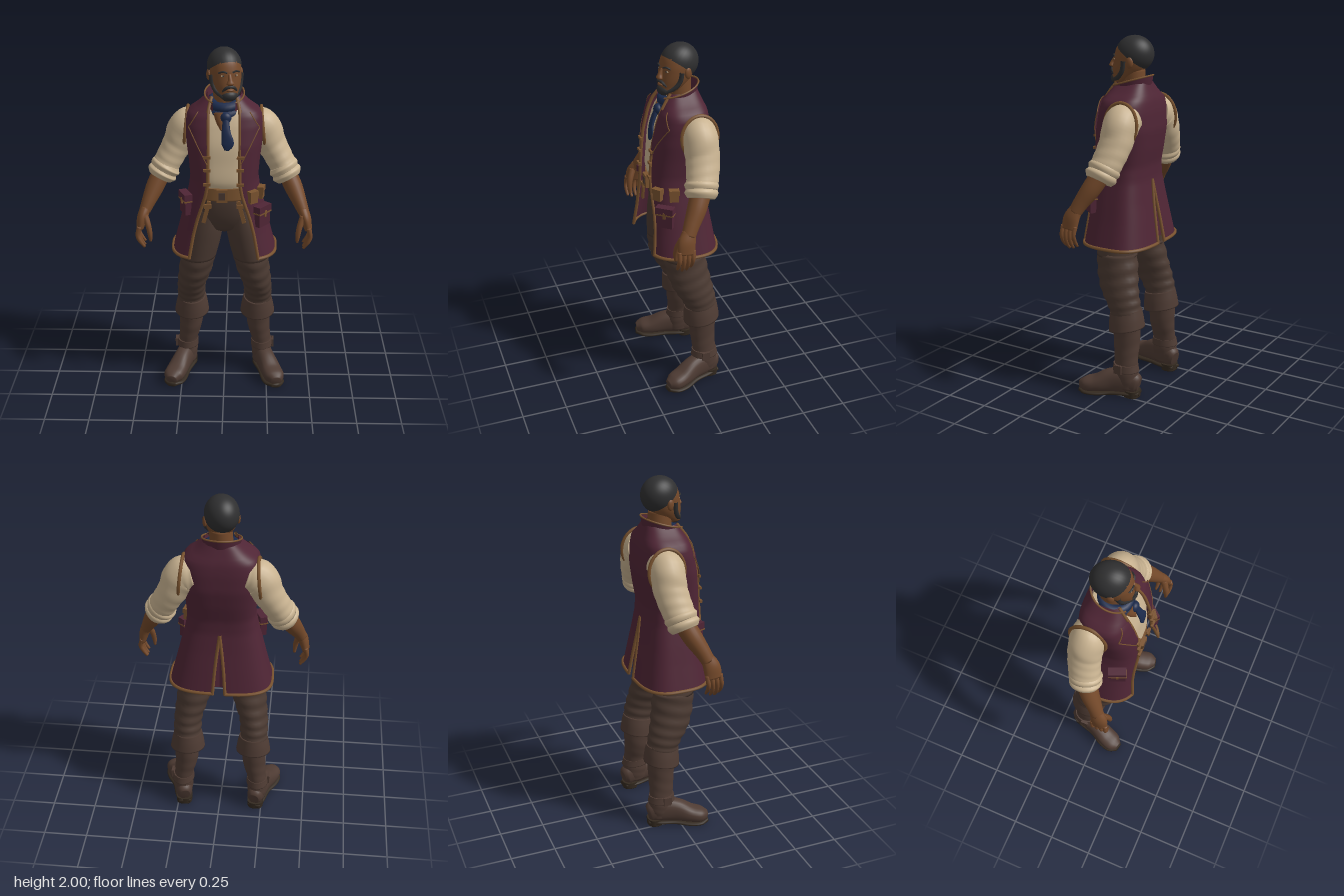
import * as THREE from 'three';

const V = (x, y, z) => new THREE.Vector3(x, y, z);
const mat = (name, color, double) => {
  const m = new THREE.MeshStandardMaterial({ color });
  m.name = name;
  if (double) m.side = THREE.DoubleSide;
  return m;
};

// Smooth grid surface; wrap joins the u direction into a ring
function grid(nu, nv, fn, wrap) {
  const pos = [], idx = [], w = wrap ? nu : nu + 1;
  for (let j = 0; j <= nv; j++)
    for (let i = 0; i < w; i++) pos.push(...fn(i / nu, j / nv, j).toArray());
  for (let j = 0; j < nv; j++)
    for (let i = 0; i < nu; i++) {
      const a = j * w + i, b = j * w + (i + 1) % w;
      idx.push(a, b, a + w, b, b + w, a + w);
    }
  const g = new THREE.BufferGeometry();
  g.setAttribute('position', new THREE.Float32BufferAttribute(pos, 3));
  g.setIndex(idx);
  g.computeVertexNormals();
  return g;
}

// Capped loft through [x, y, z, halfWidth, halfDepth] sections
function loft(pts, { ref = V(0, 0, 1), flat = null, p = 1, seg = 24, ripple = 0 } = {}) {
  const path = new THREE.CatmullRomCurve3(pts.map(q => V(q[0], q[1], q[2])));
  const size = new THREE.CatmullRomCurve3(pts.map(q => V(q[3], q[4], 0)), false, 'catmullrom', 0.5);
  const n = pts.length * 6 + 2;
  const pw = c => Math.sign(c) * Math.abs(c) ** p;
  return grid(seg, n, (u, v, j) => {
    const t = THREE.MathUtils.clamp((j - 1) / (n - 2), 0, 1);
    const T = flat || path.getTangent(t);
    const side = T.clone().cross(ref).normalize();
    const up = T.clone().cross(side);
    const r = size.getPoint(t), a = u * Math.PI * 2;
    const k = (j === 0 || j === n) ? 0.001 : 1 + ripple * Math.sin(t * 38 + 2.5 * Math.sin(a));
    return path.getPoint(t).addScaledVector(side, r.x * k * pw(Math.cos(a))).addScaledVector(up, r.y * k * pw(Math.sin(a)));
  }, true);
}

// Waistcoat rows: y, half width, front z, back z, front opening, back vent
const ROWS = [
  [1.75, 0.09, 0.06, -0.11, 0.065, 0], [1.70, 0.14, 0.095, -0.13, 0.08, 0], [1.66, 0.2, 0.115, -0.147, 0.085, 0],
  [1.6, 0.21, 0.135, -0.157, 0.085, 0], [1.5, 0.207, 0.16, -0.162, 0.085, 0], [1.4, 0.195, 0.172, -0.15, 0.085, 0],
  [1.3, 0.187, 0.18, -0.132, 0.085, 0], [1.22, 0.198, 0.182, -0.132, 0.1, 0], [1.1, 0.228, 0.187, -0.15, 0.14, 0.015],
  [1.0, 0.252, 0.195, -0.168, 0.165, 0.025], [0.86, 0.288, 0.212, -0.192, 0.19, 0.035]];
function vestRow(y) {
  let i = 0;
  while (i < ROWS.length - 2 && y < ROWS[i + 1][0]) i++;
  const k = (ROWS[i][0] - y) / (ROWS[i][0] - ROWS[i + 1][0]);
  return ROWS[i].map((a, c) => a + (ROWS[i + 1][c] - a) * k);
}
const ang = (x, rx) => Math.asin(Math.min(1, x / rx) ** 1.5);
// Point on one side of the waistcoat; t runs from the front edge (0) to the back (1)
function vestAt(s, y, t, off = 0) {
  const [, rx, zf, zb, open, gap] = vestRow(y), zc = -0.01;
  const a0 = ang(open, rx), a = a0 + (Math.PI - ang(gap, rx) - a0) * t, c = Math.cos(a);
  const depth = (c > 0 ? zf - zc : zc - zb) + off;
  return V(s * (rx + off) * Math.abs(Math.sin(a)) ** (2 / 3), y, zc + Math.sign(c) * depth * Math.abs(c) ** (2 / 3));
}
function vestT(y, x) {
  const [, rx, , , open, gap] = vestRow(y), a0 = ang(open, rx);
  return (ang(x, rx) - a0) / (Math.PI - ang(gap, rx) - a0);
}

export function createModel() {
  const root = new THREE.Group();
  root.name = 'standingMan';
  const M = {
    skin: mat('skin', 0x74492a), hair: mat('hair', 0x2f2f30), vest: mat('plum cloth', 0x4f2535, true),
    trim: mat('tan leather', 0x7a532f, true), shirt: mat('cream linen', 0xc9b391), trousers: mat('brown cloth', 0x4b3a32),
    boots: mat('boot leather', 0x4e3b33), sole: mat('sole', 0x33291f), scarf: mat('navy scarf', 0x1c2b4c)
  };
  const add = (name, geo, m, parent = root) => {
    const mesh = new THREE.Mesh(geo, m);
    mesh.name = name;
    parent.add(mesh);
    return mesh;
  };
  const ball = (name, m, x, y, z, rx, ry, rz, parent) =>
    add(name, new THREE.SphereGeometry(1, 20, 14).scale(rx, ry, rz).translate(x, y, z), m, parent);
  const box = (name, m, w, h, d, x, y, z, parent) => {
    const b = add(name, new THREE.BoxGeometry(w, h, d), m, parent);
    b.position.set(x, y, z);
    return b;
  };
  const tube = (name, pts, r, m, closed = false, parent = root) =>
    add(name, new THREE.TubeGeometry(new THREE.CatmullRomCurve3(pts, closed), pts.length * 3, r, 6, closed), m, parent);
  const span = (n, fn) => Array.from({ length: n + 1 }, (_, i) => fn(i / n));
  const UP = V(0, 1, 0), DOWN = V(0, -1, 0);

  // Shirt body, neck and open collar
  add('shirtBody', loft([[0, 1.24, 0.02, 0.15, 0.125], [0, 1.3, 0.02, 0.165, 0.14], [0, 1.4, 0.01, 0.175, 0.142],
    [0, 1.5, 0, 0.18, 0.142], [0, 1.6, -0.015, 0.18, 0.128], [0, 1.65, -0.02, 0.16, 0.112], [0, 1.71, -0.02, 0.085, 0.085]],
  { flat: UP, p: 0.75, seg: 32 }), M.shirt);
  add('neck', loft([[0, 1.6, -0.02, 0.07, 0.07], [0, 1.7, -0.02, 0.065, 0.065], [0.005, 1.82, -0.015, 0.06, 0.065]], { flat: UP }), M.skin);
  add('openThroat', loft([[-0.012, 1.66, 0.07, 0.05, 0.035], [-0.014, 1.62, 0.094, 0.03, 0.026], [-0.014, 1.58, 0.112, 0.004, 0.015]]), M.skin);

  // Neck scarf
  for (const [y, r] of [[1.71, 0.07], [1.675, 0.073]]) {
    const ring = add('scarfWrap', new THREE.TorusGeometry(r, 0.027, 10, 28).rotateX(Math.PI / 2), M.scarf);
    ring.position.set(0, y, 0.005);
    ring.rotation.x = 0.2;
  }
  ball('scarfKnot', M.scarf, 0.01, 1.65, 0.103, 0.03, 0.03, 0.024);
  add('scarfTail', loft([[0.01, 1.65, 0.11, 0.016, 0.014], [0.012, 1.58, 0.138, 0.024, 0.011], [0.02, 1.52, 0.15, 0.033, 0.009], [0.014, 1.485, 0.153, 0.012, 0.006]]), M.scarf);

  // Head, turned a little to its left
  const head = new THREE.Group();
  head.name = 'head';
  head.position.x = 0.005;
  head.rotation.y = 0.28;
  root.add(head);
  add('face', loft([[0, 1.738, 0.07, 0.025, 0.025], [0, 1.75, 0.062, 0.046, 0.042], [0, 1.785, 0.028, 0.064, 0.074], [0, 1.82, 0.01, 0.077, 0.09],
    [0, 1.86, -0.002, 0.084, 0.096], [0, 1.9, -0.012, 0.085, 0.1], [0, 1.945, -0.017, 0.075, 0.088], [0, 1.98, -0.02, 0.045, 0.055]],
  { flat: UP, p: 0.92, seg: 32 }), M.skin, head);
  add('hairCap', new THREE.SphereGeometry(1, 32, 20, 0, Math.PI * 2, 0, 1.8).rotateX(-0.68).scale(0.092, 0.1, 0.106).translate(0, 1.9, -0.022), M.hair, head);
  add('nose', loft([[0, 1.885, 0.084, 0.009, 0.01], [0, 1.855, 0.1, 0.012, 0.014], [0, 1.835, 0.106, 0.021, 0.016], [0, 1.826, 0.1, 0.014, 0.01]], { flat: DOWN }), M.skin, head);
  ball('chinBeard', M.hair, 0, 1.765, 0.07, 0.047, 0.034, 0.043, head);
  ball('lips', M.skin, 0, 1.798, 0.096, 0.022, 0.009, 0.014, head);
  tube('moustache', [V(-0.036, 1.792, 0.084), V(-0.022, 1.812, 0.1), V(0, 1.818, 0.105), V(0.022, 1.812, 0.1), V(0.036, 1.792, 0.084)], 0.008, M.hair, false, head);
  for (const s of [-1, 1]) {
    tube('jawBeard', [V(s * 0.083, 1.87, 0.02), V(s * 0.076, 1.82, 0.028), V(s * 0.062, 1.785, 0.05), V(s * 0.03, 1.76, 0.085)], 0.014, M.hair, false, head);
    ball('ear', M.skin, s * 0.089, 1.86, -0.015, 0.011, 0.03, 0.02, head);
    ball('eye', M.shirt, s * 0.034, 1.873, 0.08, 0.012, 0.005, 0.007, head);
    ball('pupil', M.hair, s * 0.034, 1.873, 0.084, 0.005, 0.005, 0.005, head);
    tube('brow', [V(s * 0.014, 1.89, 0.09), V(s * 0.035, 1.897, 0.087), V(s * 0.056, 1.889, 0.073)], 0.005, M.hair, false, head);
  }

  // Hips and belt
  add('trouserSeat', loft([[0, 1.27, 0.02, 0.15, 0.125], [0, 1.18, 0.02, 0.162, 0.13], [0, 1.08, 0.008, 0.165, 0.128], [0, 1.0, 0, 0.11, 0.105], [0, 0.97, 0, 0.04, 0.06]],
    { flat: DOWN, p: 0.85, seg: 32 }), M.trousers);
  add('belt', loft([[0, 1.265, 0.022, 0.163, 0.14], [0, 1.195, 0.022, 0.168, 0.142]], { flat: DOWN, p: 0.8, seg: 32 }), M.trim);
  box('buckle', M.trim, 0.06, 0.072, 0.02, -0.01, 1.23, 0.17);
  box('buckleInset', M.trousers, 0.034, 0.042, 0.006, -0.01, 1.23, 0.179);

  // Waistcoat collar
  const collarAt = (u, v) => {
    const a = 0.62 + u * (Math.PI * 2 - 1.24), r = 0.098 + v * 0.008, z = r * 1.08 * Math.cos(a);
    return V(r * Math.sin(a), 1.695 + v * 0.06 - z * 0.3, z - 0.008);
  };
  add('collar', grid(36, 4, collarAt), M.vest);
  tube('collarTrim', span(24, u => collarAt(u, 1)), 0.005, M.trim);

  for (const s of [-1, 1]) {
    const part = new THREE.Group();
    part.name = s > 0 ? 'leftSide' : 'rightSide';
    root.add(part);
    const put = (name, geo, m) => add(name, geo, m, part);
    const limb = (name, pts, m, o) => put(name, loft(pts.map(q => [s * q[0], ...q.slice(1)]), o), m);

    // Waistcoat panel with edging
    const Y = v => 1.75 - 0.89 * v;
    put('waistcoatPanel', grid(36, 44, (u, v) => vestAt(s, Y(v), u)), M.vest);
    tube('frontTrim', span(24, v => vestAt(s, Y(v), 0, 0.002)), 0.009, M.trim, false, part);
    tube('hemTrim', span(24, t => vestAt(s, 0.865, t, 0.002)), 0.01, M.trim, false, part);
    tube('ventTrim', span(10, v => vestAt(s, 1.22 - 0.36 * v, 1, 0.002)), 0.009, M.trim, false, part);
    put('ventPleat', grid(4, 8, (u, v) => V(s * 0.045 * u, 1.22 - 0.33 * v, -0.122 - 0.035 * v - 0.01 * u)), M.vest);
    tube('armholeTrim', span(19, t => {
      const a = t * 0.95 * Math.PI * 2;
      return V(s * (0.212 - 0.012 * Math.sin(a)), 1.545 + 0.118 * Math.sin(a), -0.06 + 0.1 * Math.cos(a));
    }), 0.01, M.trim, true, part);

    // Lapel and its stitched edge
    const lapelAt = (u, v) => {
      const y = 1.68 - 0.27 * v, w = 0.095 * (v < 0.3 ? 0.5 + v * 1.65 : (1 - v) / 0.7);
      return vestAt(s, y, vestT(y, vestRow(y)[4] + w * u), 0.01);
    };
    put('lapel', grid(6, 20, lapelAt), M.vest);
    tube('lapelEdge', span(20, v => lapelAt(1, v)), 0.003, M.trim, false, part);

    // Toggles and hanging belt straps
    for (const y of [1.45, 1.38, 1.3]) {
      const q = vestAt(s, y, 0, 0.01);
      box('toggle', M.trim, 0.04, 0.014, 0.014, q.x, y, q.z, part);
    }
    const strap = box('beltStrap', M.trim, 0.022, 0.13, 0.012, s * 0.095, 1.13, 0.158, part);
    strap.rotation.z = s * 0.25;
    box('strapRing', M.trim, 0.04, 0.022, 0.016, s * 0.088, 1.165, 0.162, part);

    // Pockets and pouches set square to the cloth
    const onVest = (name, y, x, dz) => {
      const g = new THREE.Group();
      g.name = name;
      const q = vestAt(s, y, vestT(y, x), dz);
      g.position.copy(q);
      g.rotation.y = s * Math.atan2(x ** 2 / vestRow(y)[1] ** 3, q.z ** 2 / vestRow(y)[2] ** 3);
      part.add(g);
      return g;
    };
    const pocket = onVest('pocket', s > 0 ? 1.1 : 1.16, 0.2, 0.012);
    box('pocketBag', M.vest, 0.09, 0.11, 0.035, 0, 0, 0, pocket);
    box('pocketFlap', M.vest, 0.1, 0.04, 0.045, 0, 0.045, 0, pocket);
    box('flapEdge', M.trim, 0.102, 0.008, 0.047, 0, 0.024, 0, pocket);
    box('flapTab', M.trim, 0.014, 0.035, 0.05, 0, 0.02, 0, pocket);
    if (s > 0) for (const x of [0.15, 0.192]) {
      const pouch = onVest('beltPouch', 1.22, x, 0.008);
      box('pouchBody', M.trim, 0.05, 0.065, 0.035, 0, 0, 0, pouch);
      box('pouchFlap', M.trim, 0.055, 0.028, 0.042, 0, 0.022, 0, pouch);
    }

    // Sleeve, rolled cuff and forearm
    limb('sleeve', [[0.14, 1.565, -0.06, 0.09, 0.088], [0.2, 1.548, -0.06, 0.104, 0.096], [0.26, 1.45, -0.058, 0.083, 0.092],
      [0.305, 1.37, -0.042, 0.076, 0.088], [0.338, 1.31, -0.025, 0.075, 0.084]], M.shirt, { ripple: 0.012 });
    limb('rolledCuffUpper', [[0.312, 1.345, -0.032, 0.07, 0.08], [0.325, 1.325, -0.028, 0.086, 0.092], [0.338, 1.302, -0.022, 0.074, 0.082]], M.shirt);
    limb('rolledCuffLower', [[0.332, 1.312, -0.024, 0.072, 0.08], [0.345, 1.29, -0.02, 0.085, 0.09], [0.358, 1.266, -0.014, 0.066, 0.074]], M.shirt);
    limb('forearm', [[0.35, 1.29, -0.015, 0.052, 0.055], [0.385, 1.22, 0.02, 0.05, 0.052], [0.418, 1.15, 0.06, 0.039, 0.043], [0.44, 1.1, 0.085, 0.031, 0.038]], M.skin);

    // Hand
    limb('palm', [[0.433, 1.12, 0.078, 0.03, 0.037], [0.452, 1.07, 0.098, 0.029, 0.048], [0.466, 1.01, 0.105, 0.021, 0.047]], M.skin);
    for (let i = 0; i < 4; i++) {
      const z = 0.067 + i * 0.025, d = Math.abs(i - 1.6) * 0.012;
      limb('finger', [[0.466, 1.03, z, 0.013, 0.013], [0.476, 0.98, z + 0.004, 0.0125, 0.012], [0.464, 0.93 + d, z + 0.006, 0.0115, 0.011], [0.44, 0.895 + d, z + 0.004, 0.007, 0.007]], M.skin, { seg: 10 });
    }
    limb('thumb', [[0.435, 1.09, 0.115, 0.018, 0.02], [0.415, 1.03, 0.138, 0.016, 0.017], [0.407, 0.98, 0.145, 0.013, 0.013], [0.405, 0.945, 0.143, 0.007, 0.008]], M.skin, { seg: 10 });

    // Trouser leg
    limb('trouserLeg', [[0.092, 1.12, 0.005, 0.08, 0.115], [0.112, 1, 0.005, 0.104, 0.122], [0.13, 0.9, 0.005, 0.107, 0.12], [0.15, 0.8, 0.003, 0.102, 0.116]], M.trousers, { flat: DOWN });
    limb('creasedKnee', [[0.147, 0.82, 0.004, 0.102, 0.116], [0.168, 0.7, -0.014, 0.093, 0.12], [0.19, 0.6, -0.042, 0.082, 0.112], [0.195, 0.52, -0.073, 0.08, 0.096], [0.196, 0.46, -0.085, 0.075, 0.085]],
      M.trousers, { flat: DOWN, ripple: 0.03 });

    // Boot
    limb('bootCuff', [[0.192, 0.5, -0.08, 0.08, 0.094], [0.193, 0.45, -0.084, 0.092, 0.1], [0.194, 0.395, -0.088, 0.101, 0.104]], M.boots, { flat: V(0, -0.98, -0.17).normalize() });
    limb('bootShaft', [[0.198, 0.43, -0.09, 0.072, 0.08], [0.202, 0.3, -0.092, 0.066, 0.074], [0.218, 0.2, -0.097, 0.056, 0.068], [0.222, 0.12, -0.1, 0.058, 0.074], [0.222, 0.05, -0.1, 0.05, 0.07]],
      M.boots, { flat: DOWN, ripple: 0.012 });
    limb('ankleStrap', [[0.221, 0.195, -0.097, 0.061, 0.073], [0.223, 0.155, -0.099, 0.065, 0.079]], M.boots, { flat: DOWN });
    box('ankleBuckle', M.boots, 0.014, 0.05, 0.045, s * 0.288, 0.175, -0.085, part);
    limb('bootFoot', [[0.208, 0.075, -0.178, 0.03, 0.04], [0.212, 0.08, -0.16, 0.044, 0.058], [0.225, 0.09, -0.1, 0.052, 0.074], [0.25, 0.085, -0.02, 0.053, 0.068],
      [0.28, 0.062, 0.06, 0.06, 0.048], [0.3, 0.052, 0.115, 0.056, 0.04], [0.308, 0.045, 0.152, 0.028, 0.025]], M.boots, { ref: UP, p: 0.85 });
    limb('bootSole', [[0.208, 0.022, -0.178, 0.036, 0.012], [0.222, 0.022, -0.11, 0.052, 0.012], [0.25, 0.018, -0.02, 0.05, 0.012], [0.28, 0.013, 0.06, 0.063, 0.012],
      [0.3, 0.014, 0.118, 0.058, 0.012], [0.309, 0.017, 0.158, 0.026, 0.012]], M.sole, { ref: UP, p: 0.7 });
    limb('bootHeel', [[0.216, 0.04, -0.135, 0.048, 0.046], [0.216, 0, -0.135, 0.046, 0.044]], M.sole, { flat: DOWN, p: 0.8 });
  }
  return root;
}
